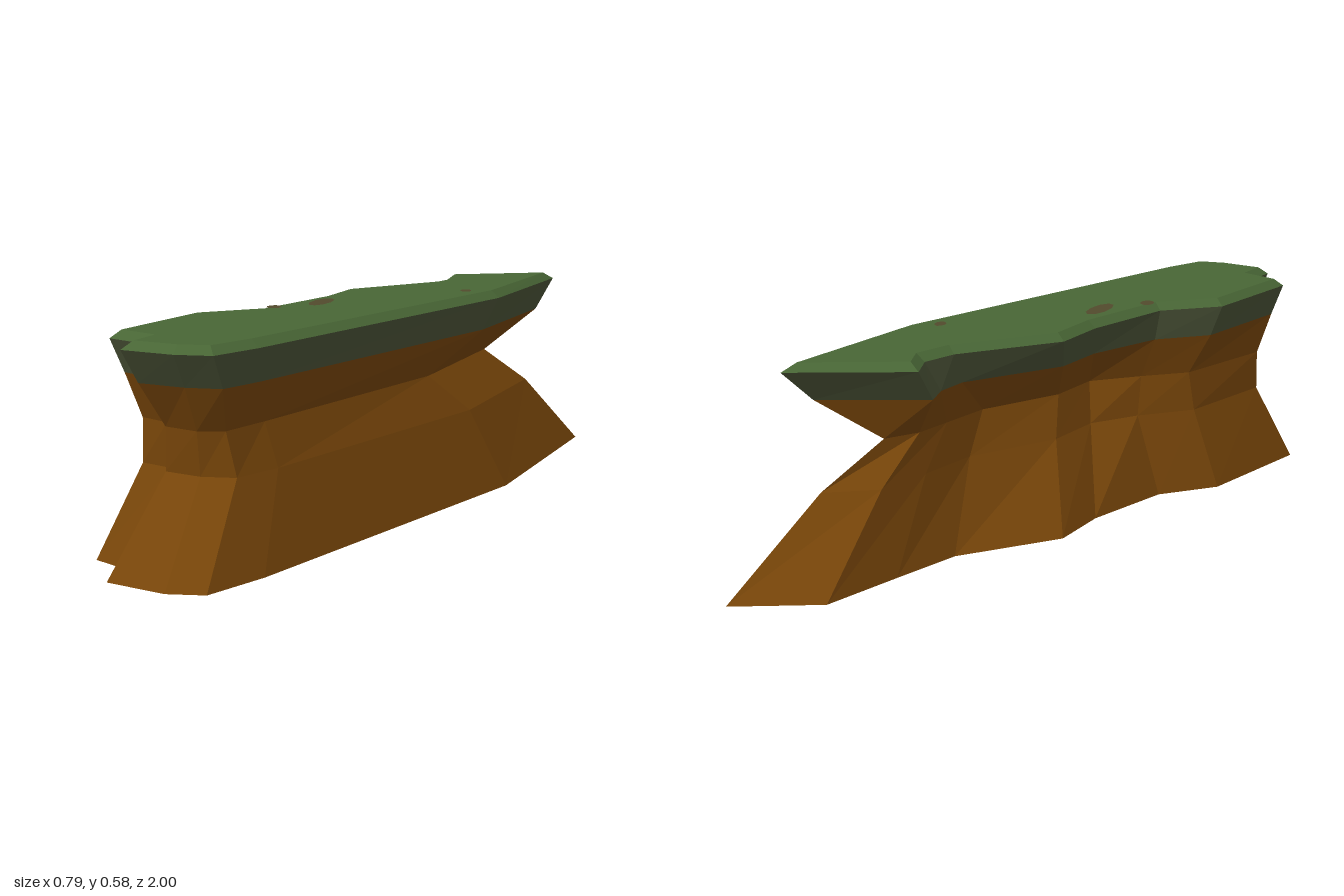
import * as THREE from 'three';

// Plan outlines [x, z], from the back tip along -x, round the front and back along +x
const foot = [[0.393, -1], [0.18, -0.87], [0.125, -0.64], [0.075, -0.44], [-0.115, -0.185], [-0.12, 0], [-0.19, 0.27],
  [-0.315, 0.417], [-0.395, 0.812], [-0.272, 0.865], [-0.28, 0.968], [-0.11, 1], [-0.013, 0.975], [0.057, 0.8], [0.355, -0.28]];
const lowWaist = [[0.287, -0.735], [0.165, -0.64], [0.135, -0.48], [0.11, -0.3], [-0.02, -0.05], [-0.035, 0.13], [-0.12, 0.265],
  [-0.24, 0.4], [-0.31, 0.715], [-0.22, 0.742], [-0.213, 0.78], [-0.11, 0.8], [-0.022, 0.78], [0.03, 0.65], [0.265, -0.2]];
const waist = [[0.195, -0.58], [0.145, -0.49], [0.13, -0.38], [0.11, -0.23], [0, 0], [-0.012, 0.165], [-0.12, 0.285],
  [-0.225, 0.39], [-0.31, 0.71], [-0.225, 0.745], [-0.206, 0.79], [-0.11, 0.815], [-0.045, 0.79], [-0.005, 0.65], [0.178, -0.08]];
const turf = [[0.325, -0.7], [0.058, -0.555], [0.085, -0.475], [0.08, -0.38], [-0.075, -0.11], [-0.085, 0.05], [-0.165, 0.28],
  [-0.285, 0.405], [-0.34, 0.742], [-0.24, 0.785], [-0.24, 0.86], [-0.11, 0.875], [-0.018, 0.86], [0.025, 0.74], [0.293, -0.23]];
const rim = [[0.357, -0.785], [0.06, -0.615], [0.1, -0.525], [0.075, -0.425], [-0.11, -0.17], [-0.115, 0], [-0.18, 0.28],
  [-0.315, 0.415], [-0.365, 0.768], [-0.25, 0.81], [-0.257, 0.912], [-0.11, 0.93], [-0.016, 0.912], [0.037, 0.775], [0.325, -0.275]];

// Move every edge of an outline inward by d
function inset(pts, d) {
  const n = pts.length;
  return pts.map((p, i) => {
    const a = pts[(i + n - 1) % n], b = pts[(i + 1) % n];
    const u = new THREE.Vector2(p[0] - a[0], p[1] - a[1]).normalize();
    const v = new THREE.Vector2(b[0] - p[0], b[1] - p[1]).normalize();
    const k = d / Math.max(0.5, 1 + u.dot(v));
    return [p[0] + (u.y + v.y) * k, p[1] - (u.x + v.x) * k];
  });
}

// Faceted wall through a stack of rings { y, pts }
function wall(rings) {
  const pos = [];
  for (let r = 0; r + 1 < rings.length; r++) {
    const lo = rings[r], hi = rings[r + 1], n = lo.pts.length;
    for (let i = 0; i < n; i++) {
      const j = (i + 1) % n;
      const at = (ring, k) => [ring.pts[k][0], ring.y, ring.pts[k][1]];
      const a = at(lo, i), b = at(lo, j), c = at(hi, j), d = at(hi, i);
      pos.push(...a, ...b, ...c, ...a, ...c, ...d);
    }
  }
  const g = new THREE.BufferGeometry();
  g.setAttribute('position', new THREE.Float32BufferAttribute(pos, 3));
  g.computeVertexNormals();
  return g;
}

// Flat horizontal plate from an outline
function plate(pts, y) {
  const shape = new THREE.Shape(pts.map(([x, z]) => new THREE.Vector2(x, -z)));
  return new THREE.ShapeGeometry(shape).rotateX(-Math.PI / 2).translate(0, y, 0);
}

export function createModel() {
  const group = new THREE.Group();
  const material = (name, color) => {
    const m = new THREE.MeshStandardMaterial({ color, side: THREE.DoubleSide, flatShading: true });
    m.name = name;
    return m;
  };
  const earth = material('earth brown', 0x774509);
  const grass = material('grass green', 0x486635);
  const sod = material('dark olive sod', 0x485035);
  const dirt = material('worn dirt', 0x524a2c);
  const add = (name, geometry, mat) => {
    const mesh = new THREE.Mesh(geometry, mat);
    mesh.name = name;
    group.add(mesh);
  };

  // Pinched earth cliff, open underneath
  add('cliffWall', wall([
    { y: 0, pts: foot }, { y: 0.235, pts: lowWaist }, { y: 0.35, pts: waist }, { y: 0.467, pts: turf },
  ]), earth);

  // Overhanging sod band, bevelled grass rim and flat top
  const top = inset(rim, 0.023);
  add('sodBand', wall([{ y: 0.467, pts: turf }, { y: 0.554, pts: rim }]), sod);
  add('grassRim', wall([{ y: 0.554, pts: rim }, { y: 0.575, pts: top }]), grass);
  add('grassTop', plate(top, 0.575), grass);

  // Bare patches: [x, z, half width, half length, turn]
  const patches = [[-0.062, 0.13, 0.028, 0.075, 0.05], [-0.145, 0.265, 0.02, 0.03, 0.3], [0.238, -0.235, 0.016, 0.026, 0.3]];
  for (const [x, z, w, l, turn] of patches) {
    const g = new THREE.CircleGeometry(1, 9).rotateX(-Math.PI / 2).scale(w, 1, l).rotateY(turn).translate(x, 0.5765, z);
    add('barePatch', g, dirt);
  }
  return group;
}
